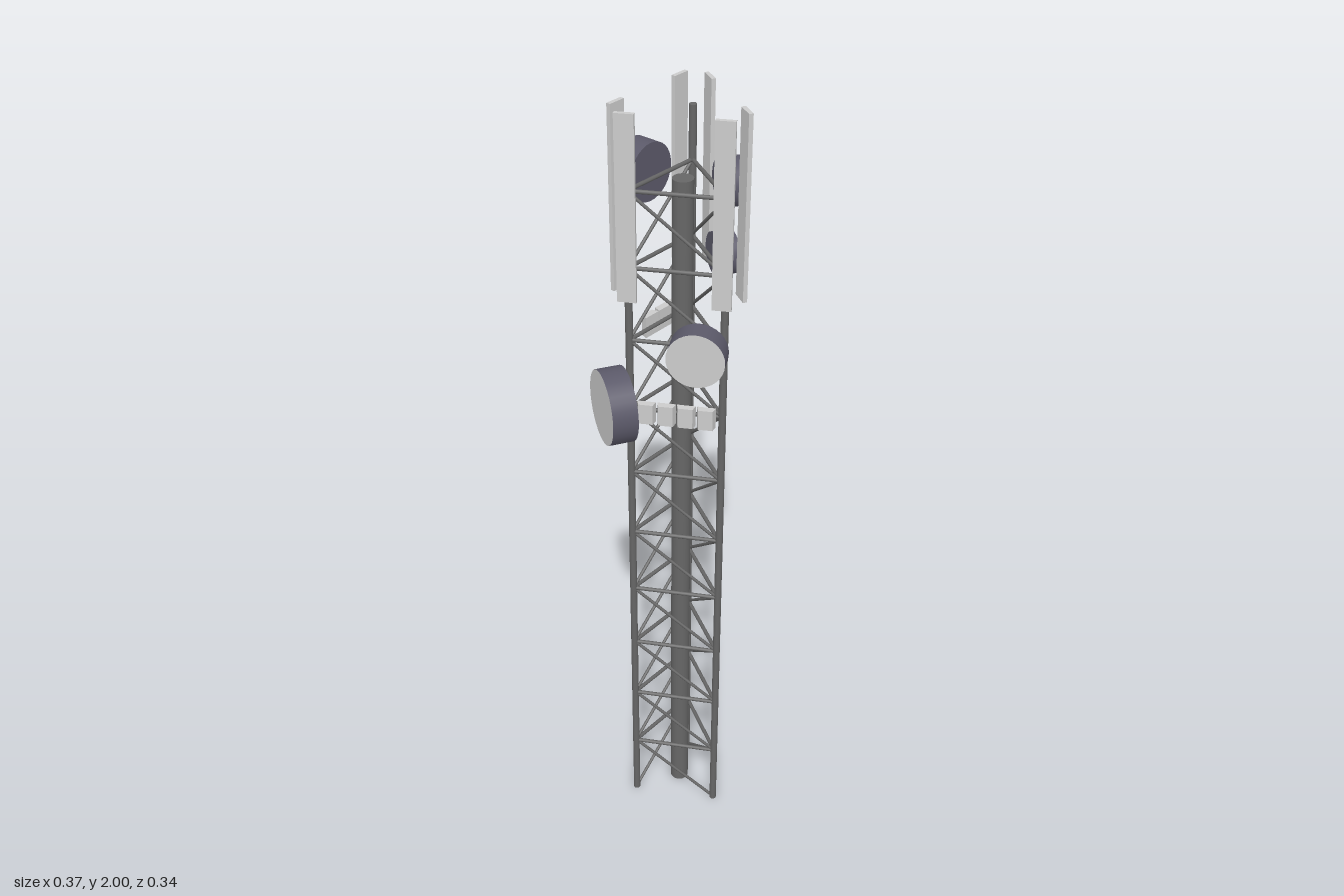
import * as THREE from 'three';

const mat = (color) => new THREE.MeshStandardMaterial({ color });
const steel = mat(0x666666);
const light = mat(0xcccccc);
const shell = mat(0x5c5a6a);

const L = [-0.078, 0.052], R = [0.138, 0.052], B = [0.03, -0.135];
const legs = [R, L, B];
const BAYS = 10, BAY = 0.181;

function add(parent, name, geometry, material) {
  const mesh = new THREE.Mesh(geometry, material);
  mesh.name = name;
  parent.add(mesh);
  return mesh;
}

// Round bar between two points
function rod(parent, name, a, b, radius, sides = 8) {
  const dir = b.clone().sub(a);
  const mesh = add(parent, name, new THREE.CylinderGeometry(radius, radius, dir.length(), sides), steel);
  mesh.position.copy(a).addScaledVector(dir, 0.5);
  mesh.quaternion.setFromUnitVectors(new THREE.Vector3(0, 1, 0), dir.normalize());
  return mesh;
}

const at = ([x, z], y) => new THREE.Vector3(x, y, z);
const rad = THREE.MathUtils.degToRad;

// Drum antenna facing the heading angle, with a pale front cover
function drum(parent, x, y, z, heading, radius, depth) {
  const g = new THREE.Group();
  g.name = 'drumAntenna';
  g.position.set(x, y, z);
  g.rotation.y = rad(heading);
  const geo = new THREE.CylinderGeometry(radius, radius, depth, 32).rotateX(Math.PI / 2);
  add(g, 'drumShell', geo, [shell, light, shell]);
  parent.add(g);
}

// Row of tapered junction boxes along one tower face
function boxRow(parent, mid, y, heading, offsets) {
  const g = new THREE.Group();
  g.name = 'junctionBoxes';
  g.position.copy(at(mid, y));
  g.rotation.y = rad(heading);
  const shape = new THREE.Shape([
    new THREE.Vector2(-0.022, -0.007), new THREE.Vector2(-0.017, -0.024),
    new THREE.Vector2(0.017, -0.024), new THREE.Vector2(0.022, -0.007),
  ]);
  const geo = new THREE.ExtrudeGeometry(shape, { depth: 0.052, bevelEnabled: false });
  geo.rotateX(-Math.PI / 2).translate(0, -0.026, 0);
  for (const x of offsets) add(g, 'junctionBox', geo, light).position.x = x;
  parent.add(g);
}

export function createModel() {
  const model = new THREE.Group();
  model.name = 'latticeMast';

  // Triangular lattice: legs, rungs and one diagonal per bay on each face
  const lattice = new THREE.Group();
  lattice.name = 'lattice';
  model.add(lattice);
  legs.forEach((p, i) => {
    const q = legs[(i + 1) % 3];
    rod(lattice, 'leg', at(p, 0), at(p, 1.94), 0.009, 12);
    for (let n = 0; n < BAYS; n++) {
      const y0 = n * BAY + 0.003, y1 = (n + 1) * BAY + 0.003;
      rod(lattice, 'rung', at(p, y1), at(q, y1), 0.005);
      rod(lattice, 'diagonal', at(p, y0), at(q, y1), 0.004);
    }
  });

  // Central cable column
  rod(model, 'centralColumn', at([0.03, -0.019], 0), at([0.03, -0.019], 1.82), 0.024, 24);

  // Six tall panel antennas, two per face: x, z, heading
  const panelGeo = new THREE.BoxGeometry(0.043, 0.43, 0.01);
  [
    [-0.073, 0.09, 0], [0.136, 0.09, 0],
    [-0.002, -0.15, -120], [-0.104, 0.029, -120],
    [0.064, -0.148, 120], [0.17, 0.029, 120],
  ].forEach(([x, z, heading]) => {
    const panel = add(model, 'panelAntenna', panelGeo, light);
    panel.position.set(x, 1.785, z);
    panel.rotation.y = rad(heading);
  });

  // Drum antennas
  drum(model, -0.112, 1.285, 0.073, -60, 0.09, 0.061);
  drum(model, 0.084, 1.45, 0.091, 0, 0.067, 0.053);
  drum(model, -0.071, 1.81, -0.07, -120, 0.067, 0.054);
  drum(model, 0.13, 1.81, -0.042, 120, 0.054, 0.046);
  drum(model, 0.112, 1.625, -0.073, 120, 0.05, 0.046);

  // Junction boxes on the front and rear right faces
  boxRow(model, [0.03, 0.052], 1.27, 0, [-0.068, -0.021, 0.025, 0.072]);
  boxRow(model, [-0.024, -0.0415], 1.45, -120, [-0.072, -0.025, 0.021]);

  return model;
}
